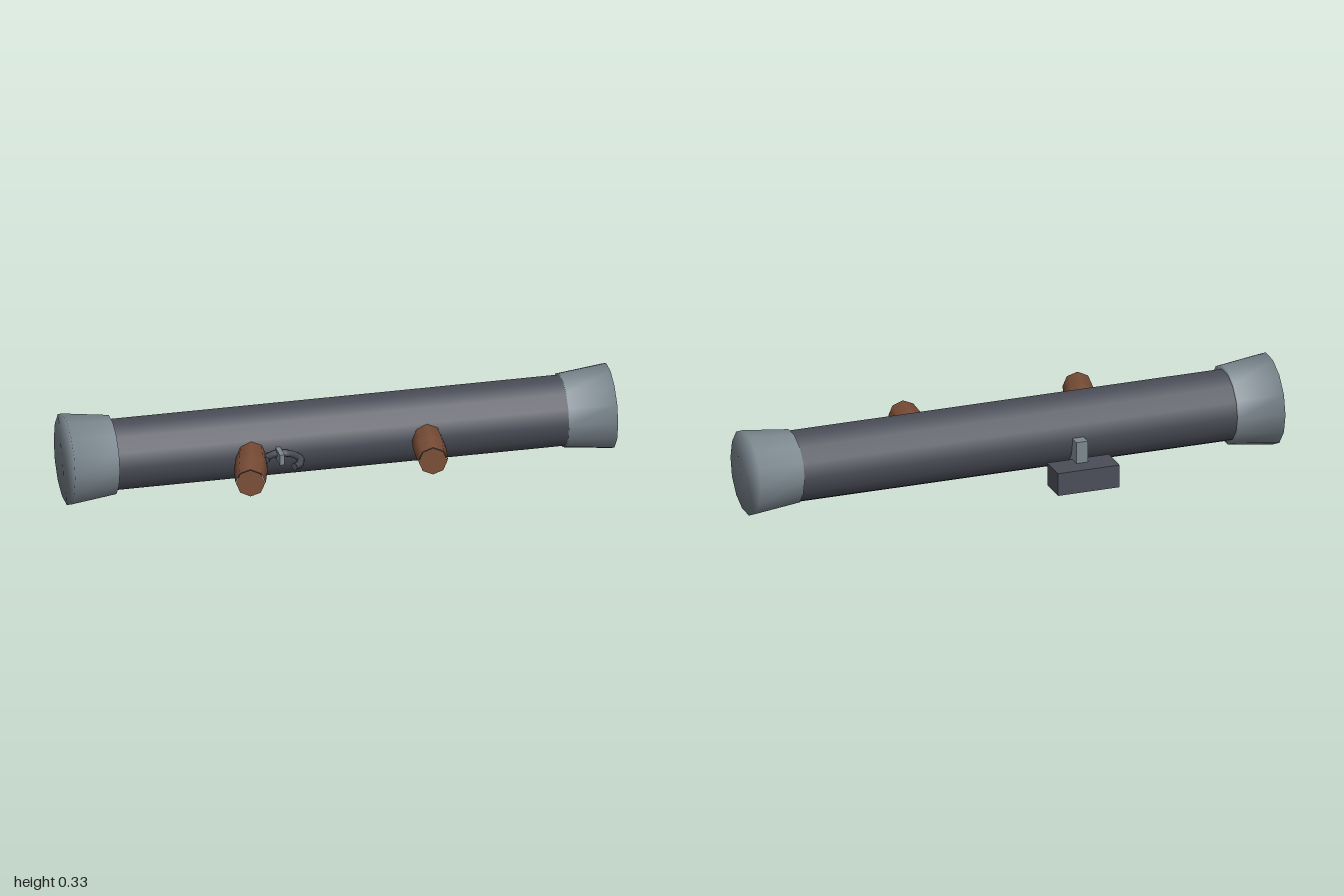
import * as THREE from 'three';

const AXIS_Y = 0.167, AXIS_Z = -0.066;

export function createModel() {
  const model = new THREE.Group();
  model.name = 'shoulderLauncher';

  const material = (name, color) => {
    const m = new THREE.MeshStandardMaterial({ color });
    m.name = name;
    return m;
  };
  const gunmetal = material('dark gunmetal', 0x4b4e58);
  const steel = material('light steel', 0x7d8991);
  const wood = material('brown wood', 0x7a4e37);

  const add = (name, geometry, mat, x = 0, y = 0, z = 0) => {
    const mesh = new THREE.Mesh(geometry, mat);
    mesh.name = name;
    mesh.position.set(x, y, z);
    model.add(mesh);
    return mesh;
  };

  // Lathe around the barrel axis; profile points are [radius, x]
  const turned = (profile) =>
    new THREE.LatheGeometry(profile.map(([r, x]) => new THREE.Vector2(r, x)), 14).rotateZ(-Math.PI / 2);

  // Barrel and flared end caps
  add('barrel', turned([[0.131, -0.86], [0.131, 0.86]]), gunmetal, 0, AXIS_Y, AXIS_Z);
  add('rearCap', turned([[0, -1], [0.168, -1], [0.146, -0.83], [0.12, -0.83]]),
    steel, 0, AXIS_Y, AXIS_Z);
  add('muzzleCap', turned([[0.12, 0.825], [0.136, 0.825], [0.156, 1], [0, 1]]),
    steel, 0, AXIS_Y, AXIS_Z);

  // Bulging eight-sided grips, tilted slightly toward the rear
  const grip = (name, endX, endZ, tilt, length) => {
    const profile = [[0, -length], [0.052, -length], [0.06, -length * 0.5], [0.06, -length * 0.42],
      [0.054, 0], [0, 0]].map(([r, y]) => new THREE.Vector2(r, y));
    // Separate the flat end from the smooth side
    const side = new THREE.LatheGeometry(profile.slice(1, 5), 8).rotateX(Math.PI / 2);
    const end = new THREE.CircleGeometry(0.052, 8);
    const group = new THREE.Group();
    group.name = name;
    const sideMesh = new THREE.Mesh(side, wood);
    sideMesh.name = 'gripBody';
    const endMesh = new THREE.Mesh(end, wood);
    endMesh.name = 'gripEnd';
    group.add(sideMesh, endMesh);
    group.position.set(endX, AXIS_Y, endZ);
    group.rotation.y = -tilt;
    model.add(group);
    return group;
  };
  for (const [name, x, z, tilt, length] of [
    ['rearGrip', -0.398, 0.285, 0.24, 0.26],
    ['frontGrip', 0.281, 0.252, 0.12, 0.23],
  ]) {
    const g = grip(name, x, z, tilt, length);
    // Body runs from the end face back into the barrel
    g.children[0].rotation.x = 0;
    g.children[0].geometry.computeBoundingBox();
    if (g.children[0].geometry.boundingBox.max.z > 0.01) g.children[0].rotation.x = Math.PI;
  }

  // Open hook-shaped trigger guard, flat in the horizontal plane
  const hook = [];
  for (let i = 0; i <= 10; i++) {
    const a = THREE.MathUtils.degToRad(-165 + i * 23);
    hook.push(new THREE.Vector3(Math.cos(a) * 0.063, 0, Math.sin(a) * 0.066));
  }
  const guardCurve = new THREE.CatmullRomCurve3(hook);
  add('triggerGuard', new THREE.TubeGeometry(guardCurve, 12, 0.014, 6), gunmetal, -0.242, 0.172, 0.135);
  const tip = new THREE.CircleGeometry(0.014, 6);
  for (const [t, sign] of [[0, -1], [1, 1]]) {
    const p = guardCurve.getPoint(t);
    const end = add('guardTip', tip, gunmetal, p.x - 0.242, p.y + 0.172, p.z + 0.135);
    end.quaternion.setFromUnitVectors(new THREE.Vector3(0, 0, 1),
      guardCurve.getTangent(t).multiplyScalar(sign));
  }
  add('trigger', new THREE.BoxGeometry(0.018, 0.04, 0.09), steel, -0.245, 0.172, 0.085);

  // Sight box and its bracket on the back
  add('sightBracket', new THREE.BoxGeometry(0.043, 0.152, 0.11), steel, -0.222, 0.101, -0.182);
  add('sightBox', new THREE.BoxGeometry(0.235, 0.086, 0.109), gunmetal, -0.2225, 0.053, -0.2485);

  return model;
}
